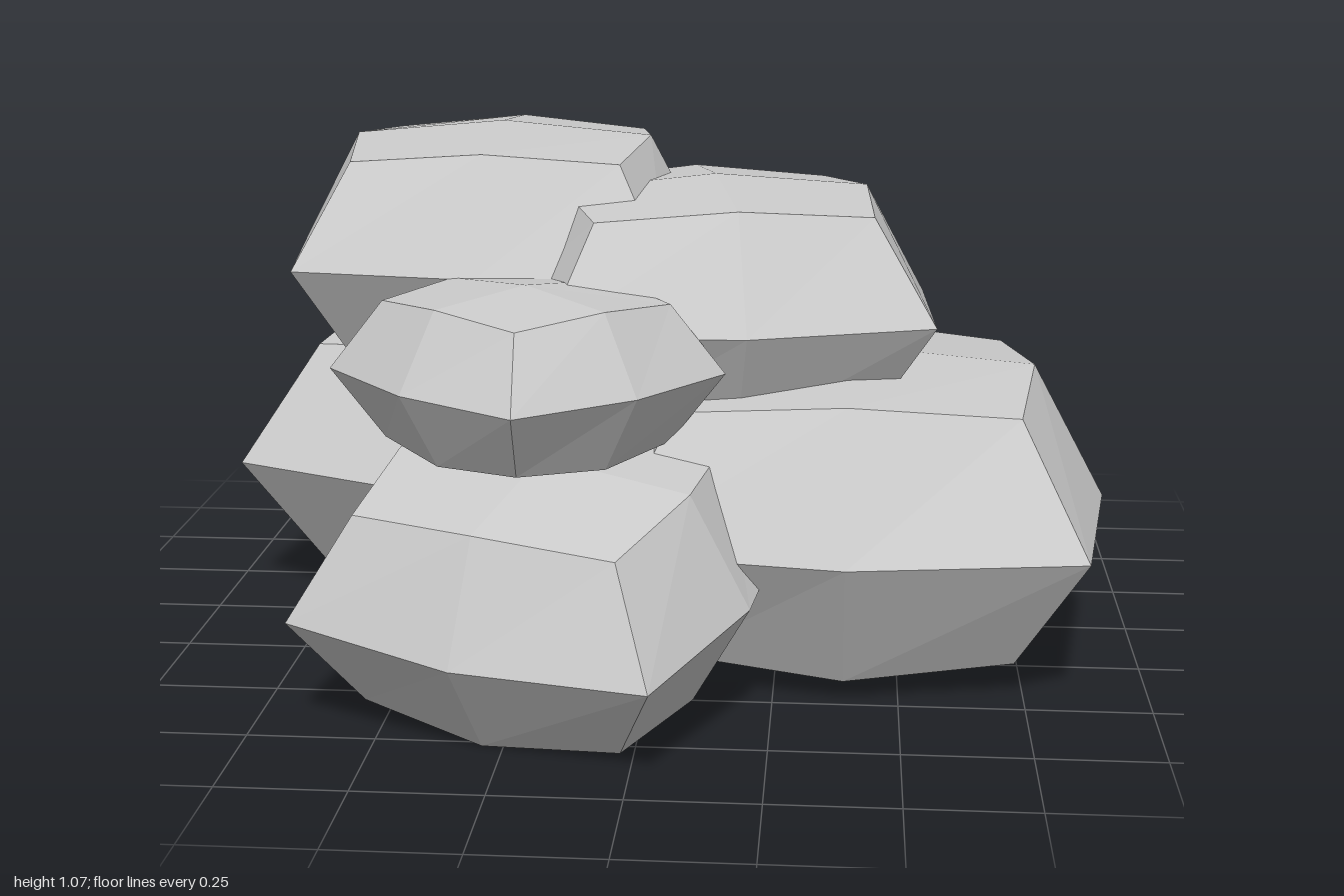
import * as THREE from 'three';

// One boulder: a 2x2x2-segment box, its edges and corners pulled in to a faceted, domed stone.
function rock(name, [hx, hy, hz], [x, y, z], [rx, ry, rz] = [0, 0, 0]) {
  const box = new THREE.BoxGeometry(2, 2, 2, 2, 2, 2);
  const p = box.attributes.position;
  for (let i = 0; i < p.count; i++) {
    const [a, b, c] = [p.getX(i), p.getY(i), p.getZ(i)].map(Math.round);
    const sides = Math.abs(a) + Math.abs(c);
    let flat = 1, tall = 1;
    if (b === 0) flat = sides === 2 ? 0.87 : 1;                          // widest ring
    else if (sides === 1) { flat = 0.72; tall = 0.89; }                  // middles of the rim
    else if (sides === 2) { flat = 0.63; tall = 0.8; }                   // corners of the rim
    p.setXYZ(i, a * flat * hx, b * tall * hy, c * flat * hz);
  }
  const geometry = box.toNonIndexed();
  geometry.computeVertexNormals();
  const mesh = new THREE.Mesh(geometry, new THREE.MeshStandardMaterial({ color: 0xcccccc, flatShading: true }));
  mesh.name = name;
  mesh.position.set(x, y, z);
  mesh.rotation.set(rx, ry, rz, 'YXZ');
  return mesh;
}

export function createModel() {
  const pile = new THREE.Group();
  pile.name = 'rockPile';
  pile.add(
    // ground layer
    rock('leftBaseRock', [0.54, 0.315, 0.57], [0.39, 0.322, 0.07]),
    rock('backBaseRock', [0.54, 0.315, 0.57], [-0.357, 0.322, -0.383], [0, -0.285, 0]),
    rock('frontBaseRock', [0.43, 0.25, 0.42], [-0.197, 0.268, 0.523], [0.16, -0.325, -0.05]),
    // upper layer
    rock('topRock', [0.445, 0.265, 0.465], [-0.365, 0.81, -0.155]),
    rock('leftUpperRock', [0.45, 0.26, 0.46], [0.105, 0.725, -0.01], [0, 0.19, 0]),
    rock('smallFrontRock', [0.325, 0.172, 0.31], [-0.24, 0.658, 0.45], [0, -0.75, 0]),
  );
  return pile;
}
